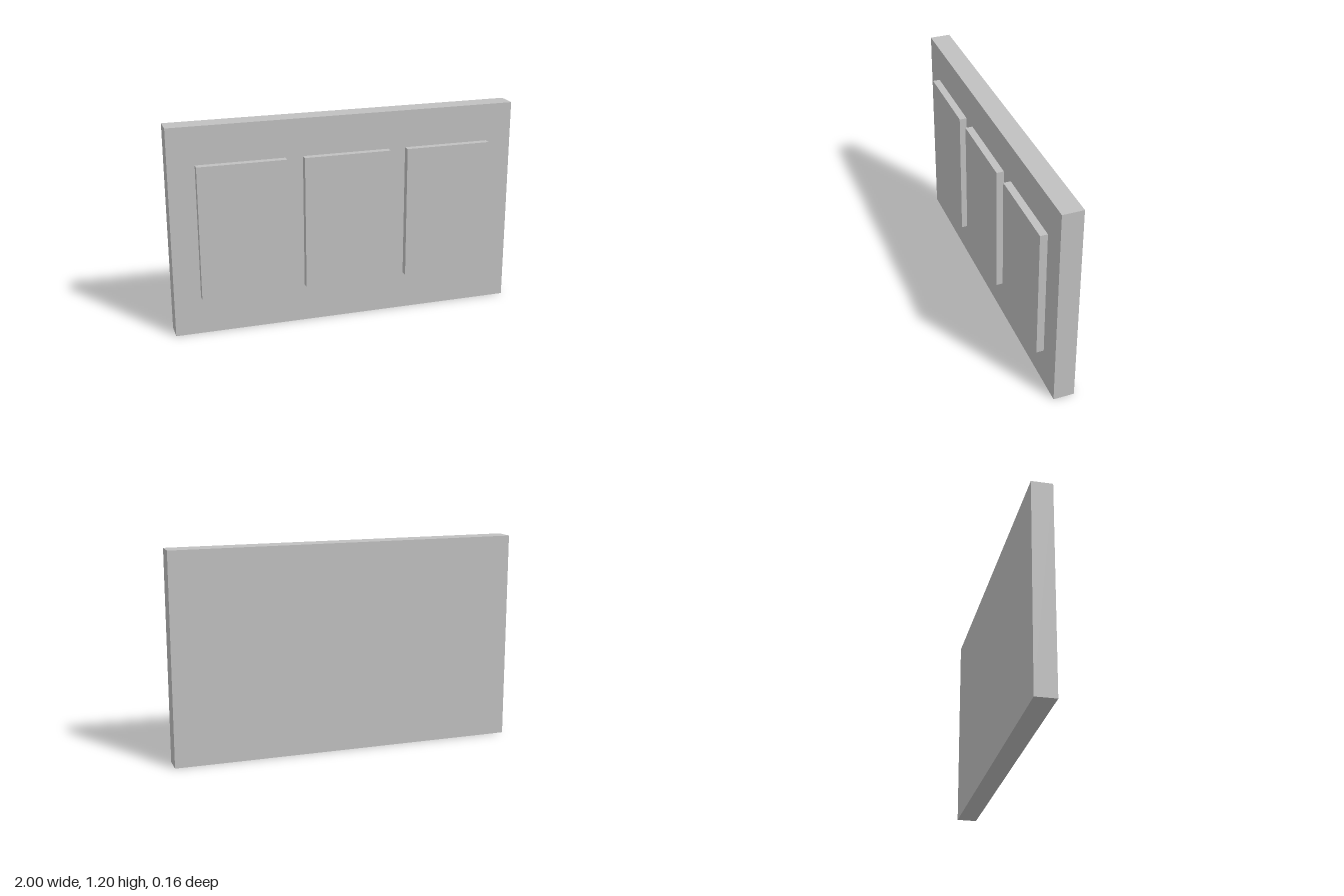
import * as THREE from 'three';

export function createModel() {
  const model = new THREE.Group();
  model.name = 'panelledBoard';
  const grey = new THREE.MeshStandardMaterial({ color: 0xc0c0c0 });
  grey.name = 'light grey';

  function box(name, size, position) {
    const mesh = new THREE.Mesh(new THREE.BoxGeometry(...size), grey);
    mesh.name = name;
    mesh.position.set(...position);
    model.add(mesh);
  }

  // Upright backing board
  box('backBoard', [2, 1.2, 0.118], [0, 0.6, -0.021]);

  // Three raised panels across the front
  ['rightPanel', 'centrePanel', 'leftPanel'].forEach((name, i) => {
    box(name, [0.5, 0.766, 0.042], [(i - 1) * 0.6, 0.602, 0.059]);
  });

  return model;
}
